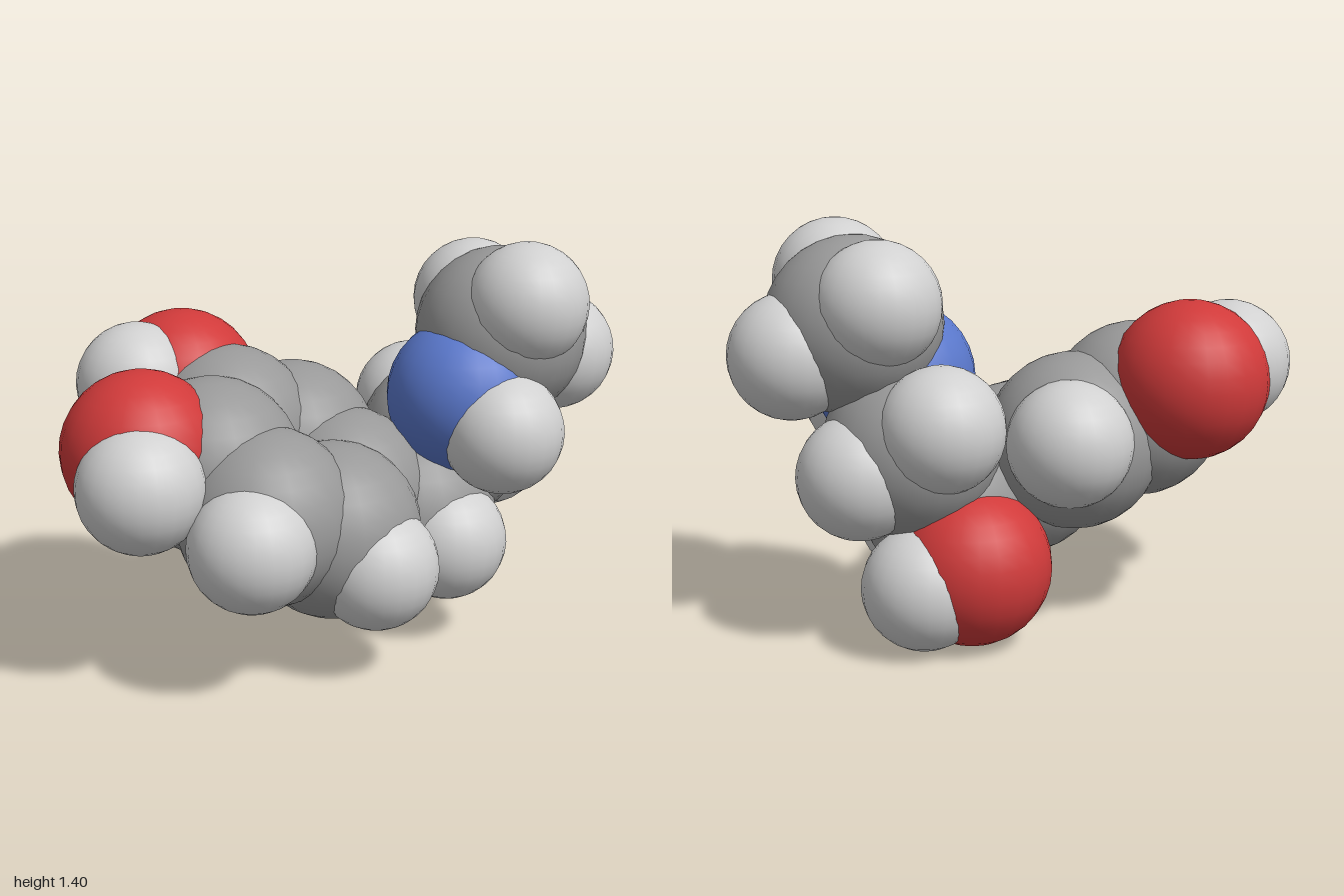
import * as THREE from 'three';

const material = (name, color) => {
  const m = new THREE.MeshStandardMaterial({ color });
  m.name = name;
  return m;
};

export function createModel() {
  const group = new THREE.Group();
  group.name = 'spaceFillingMolecule';

  // One radius and colour per element
  const elements = {
    carbon: { radius: 0.3, mat: material('grey', 0x999999) },
    oxygen: { radius: 0.268, mat: material('red', 0xd03a3a) },
    nitrogen: { radius: 0.273, mat: material('blue', 0x5a78cc) },
    hydrogen: { radius: 0.211, mat: material('lightGrey', 0xd0d0d0) },
  };
  for (const e of Object.values(elements)) e.geo = new THREE.SphereGeometry(e.radius, 24, 16);

  const atom = (name, element, position) => {
    const { geo, mat } = elements[element];
    const mesh = new THREE.Mesh(geo, mat);
    mesh.name = name;
    mesh.position.set(...position);
    group.add(mesh);
  };

  // Six-sided carbon ring, spanned by two vectors in its tilted plane
  const centre = new THREE.Vector3(-0.248, 0.615, 0.022);
  const a = new THREE.Vector3(-0.244, 0.085, 0.025);
  const b = new THREE.Vector3(-0.127, -0.045, 0.222);
  const steps = [[1, 0], [0, 1], [-1, 1], [-1, 0], [0, -1], [1, -1]];
  steps.forEach(([i, j], n) => {
    const p = centre.clone().addScaledVector(a, i).addScaledVector(b, j);
    atom(`ringCarbon${n + 1}`, 'carbon', p.toArray());
  });

  // Hydrogens on the ring
  atom('ringHydrogenFrontRight', 'hydrogen', [-0.48, 0.535, 0.415]);
  atom('ringHydrogenFrontLeft', 'hydrogen', [-0.035, 0.39, 0.368]);
  atom('ringHydrogenBack', 'hydrogen', [-0.03, 0.695, -0.373]);

  // Two hydroxyl groups on the ring
  atom('backOxygen', 'oxygen', [-0.47, 0.872, -0.362]);
  atom('backOxygenHydrogen', 'hydrogen', [-0.645, 0.91, -0.305]);
  atom('sideOxygen', 'oxygen', [-0.734, 0.784, 0.062]);
  atom('sideOxygenHydrogen', 'hydrogen', [-0.788, 0.715, 0.238]);

  // Side chain with its lower hydroxyl group
  atom('chainCarbonLower', 'carbon', [0.264, 0.436, -0.024]);
  atom('chainHydrogenLower', 'hydrogen', [0.325, 0.36, 0.145]);
  atom('lowerOxygen', 'oxygen', [0.26, 0.272, -0.23]);
  atom('lowerOxygenHydrogen', 'hydrogen', [0.43, 0.22, -0.237]);
  atom('chainCarbonUpper', 'carbon', [0.42, 0.658, -0.09]);
  atom('chainHydrogenSide', 'hydrogen', [0.61, 0.588, -0.125]);
  atom('chainHydrogenBack', 'hydrogen', [0.38, 0.757, -0.277]);

  // Nitrogen and the end group
  atom('nitrogen', 'nitrogen', [0.415, 0.86, 0.085]);
  atom('nitrogenHydrogen', 'hydrogen', [0.47, 0.77, 0.268]);
  atom('endCarbon', 'carbon', [0.57, 1.06, 0.04]);
  atom('endHydrogenFront', 'hydrogen', [0.585, 1.19, 0.198]);
  atom('endHydrogenBack', 'hydrogen', [0.54, 1.15, -0.127]);
  atom('endHydrogenSide', 'hydrogen', [0.787, 0.975, 0.03]);

  return group;
}
